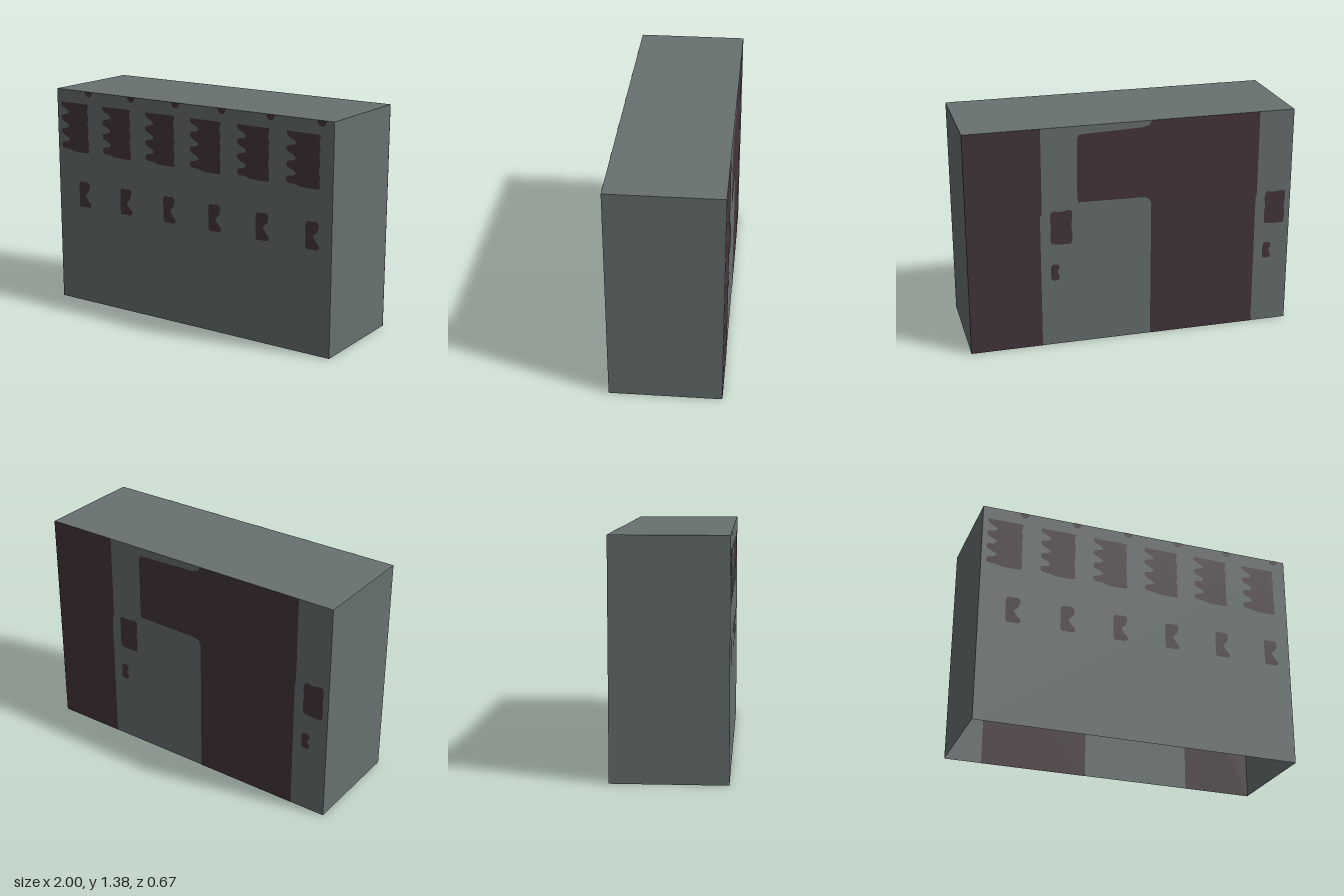
import * as THREE from 'three';

const W = 2, H = 1.375, D = 0.667, GAP = 0.0015;

export function createModel() {
  const model = new THREE.Group();
  const wall = new THREE.MeshStandardMaterial({ name: 'grey wall', color: 0x687070, side: THREE.DoubleSide });
  const glass = new THREE.MeshStandardMaterial({ name: 'dark glass', color: 0x45363c, side: THREE.DoubleSide });

  // Thin walls, open underneath
  function addWall(name, w, h, position, rx, ry) {
    const mesh = new THREE.Mesh(new THREE.PlaneGeometry(w, h), wall);
    mesh.name = name;
    mesh.position.set(...position);
    mesh.rotation.set(rx, ry, 0);
    model.add(mesh);
  }
  addWall('frontWall', W, H, [0, H / 2, D / 2], 0, 0);
  addWall('backWall', W, H, [0, H / 2, -D / 2], 0, Math.PI);
  addWall('leftWall', D, H, [W / 2, H / 2, 0], 0, Math.PI / 2);
  addWall('rightWall', D, H, [-W / 2, H / 2, 0], 0, -Math.PI / 2);
  addWall('roof', W, D, [0, H, 0], -Math.PI / 2, 0);

  // Flat patch shown on both faces of a wall
  function addPatch(name, points, z, dx = 0, smooth = 0) {
    let outline = points.map(([x, y]) => new THREE.Vector3(x, y, 0));
    if (smooth) {
      const curve = new THREE.CatmullRomCurve3(outline, true, 'catmullrom', smooth);
      outline = curve.getPoints(points.length * 5).slice(0, -1);
    }
    const shape = new THREE.Shape(outline.map((p) => new THREE.Vector2(p.x, p.y)));
    const geometry = new THREE.ShapeGeometry(shape);
    const group = new THREE.Group();
    group.name = name;
    for (const side of [-1, 1]) {
      const mesh = new THREE.Mesh(geometry, glass);
      mesh.name = name + (side > 0 ? 'Front' : 'Rear');
      mesh.position.set(dx, 0, z + side * GAP);
      group.add(mesh);
    }
    model.add(group);
  }

  // Large window outline with a scalloped left edge, local to its bay
  const large = [[0.236, 1.294], [0.248, 1.28], [0.242, 1.245], [0.25, 1.21], [0.244, 1.17],
    [0.25, 1.13], [0.243, 1.09], [0.25, 1.05], [0.246, 1.02], [0.25, 1.0], [0.237, 0.984],
    [0.13, 0.984], [0.09, 0.995]];
  for (let i = 0; i < 4; i++) {
    const y = 1.015 + i * 0.088;
    large.push([0.045, y - 0.016], [0.031, y], [0.04, y + 0.02]);
    if (i < 3) large.push([0.075, y + 0.028], [0.092, y + 0.042], [0.075, y + 0.058]);
  }
  large.push([0.055, 1.294]);

  // Small bean-shaped window and the half-round mark under the roof
  const small = [[0.166, 0.635], [0.163, 0.70], [0.165, 0.785], [0.20, 0.793], [0.238, 0.793],
    [0.249, 0.77], [0.238, 0.735], [0.214, 0.71], [0.23, 0.68], [0.253, 0.655], [0.245, 0.632], [0.20, 0.63]];
  const mark = [];
  for (let i = 0; i <= 10; i++) {
    const a = Math.PI + (i / 10) * Math.PI;
    mark.push([0.257 + 0.029 * Math.cos(a), H + 0.034 * Math.sin(a)]);
  }

  // Six bays along the front
  for (let i = 0; i < 6; i++) {
    const x = -1 + i * W / 6;
    addPatch('largeWindow' + i, large, D / 2, x, 0.5);
    addPatch('smallWindow' + i, small, D / 2, x, 0.5);
    addPatch('roofMark' + i, mark, D / 2, x);
  }

  // Tall dark panels on the back
  addPatch('backSidePanel', [[1, 0], [1, H], [0.55, H], [0.552, 0.86], [0.563, 0.83], [0.563, 0]], -D / 2);
  addPatch('backMainPanel', [[-0.775, 0], [-0.775, 0.82], [-0.782, 0.86], [-0.782, H], [-0.113, H],
    [-0.10, 1.35], [-0.06, 1.337], [0.30, 1.325], [0.325, 1.322], [0.336, 1.30],
    [0.338, 0.925], [0.33, 0.908], [-0.07, 0.902], [-0.10, 0.89], [-0.113, 0.86], [-0.113, 0]], -D / 2);

  // Two pairs of small back windows
  const backWindow = [[0.498, 0.852], [0.503, 0.81], [0.498, 0.77], [0.503, 0.73], [0.5, 0.67], [0.48, 0.655],
    [0.39, 0.652], [0.374, 0.665], [0.371, 0.72], [0.376, 0.76], [0.371, 0.81], [0.373, 0.855], [0.39, 0.865],
    [0.45, 0.858], [0.48, 0.865]];
  const backSlot = [[0.49, 0.526], [0.502, 0.51], [0.503, 0.44], [0.49, 0.425], [0.46, 0.425],
    [0.451, 0.445], [0.463, 0.475], [0.451, 0.505], [0.46, 0.525]];
  for (const dx of [0, -1.337]) {
    addPatch('backWindow', backWindow, -D / 2, dx, 0.5);
    addPatch('backSlot', backSlot, -D / 2, dx, 0.5);
  }
  return model;
}
